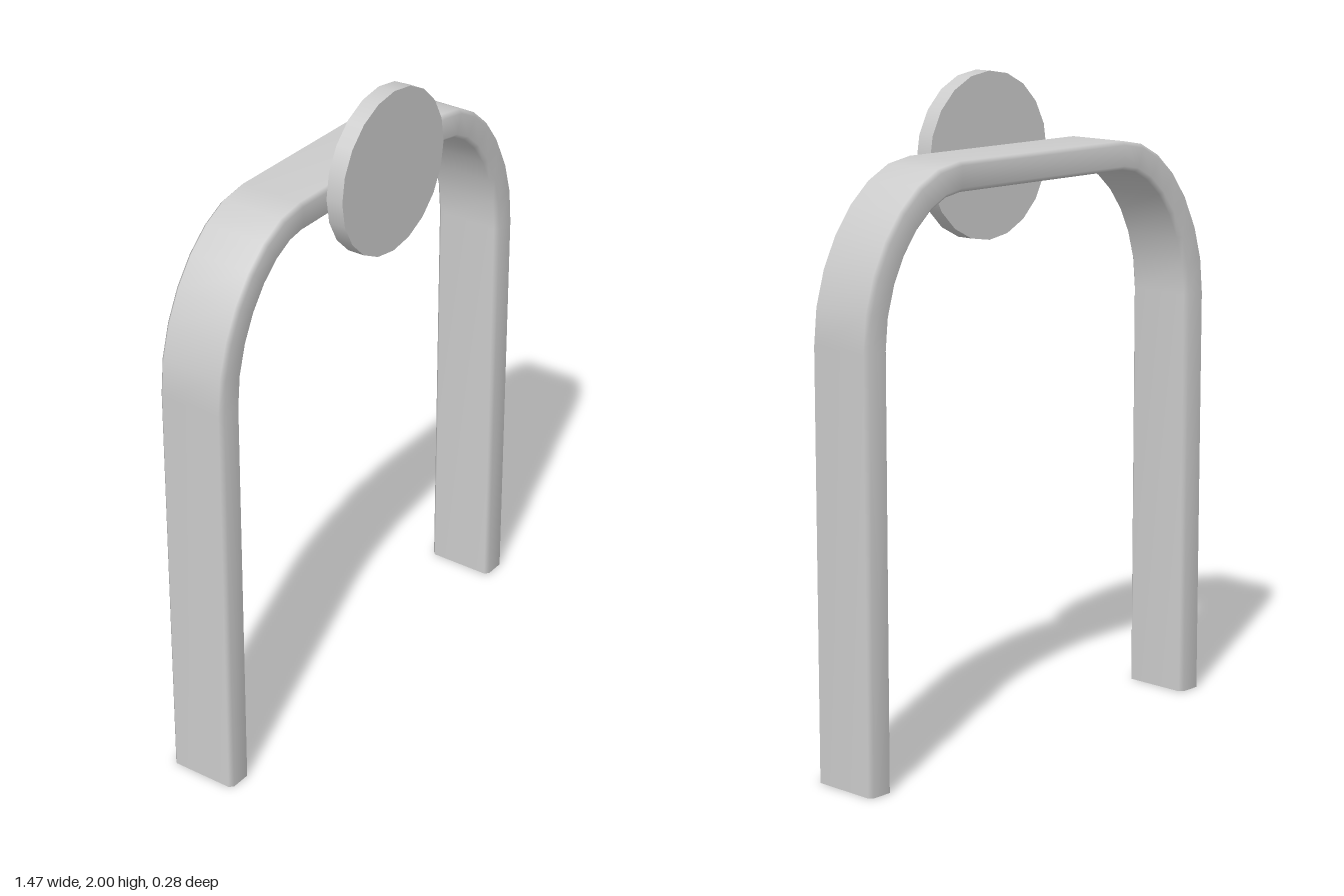
import * as THREE from 'three';

const material = new THREE.MeshStandardMaterial({ color: 0xcccccc, side: THREE.DoubleSide });

// Sweeps a closed section (u = outward, v = z) along a flat path; the ends stay open
function sweep(stations, section) {
  const positions = [], index = [], n = section.length;
  stations.forEach(({ p, t }, i) => {
    section.forEach(([u, v], j) => {
      positions.push(p.x + t.y * u, p.y - t.x * u, v);
      if (i < stations.length - 1) {
        const a = i * n + j, b = i * n + (j + 1) % n;
        index.push(a, a + n, b, b, a + n, b + n);
      }
    });
  });
  const geometry = new THREE.BufferGeometry();
  geometry.setAttribute('position', new THREE.Float32BufferAttribute(positions, 3));
  geometry.setIndex(index);
  geometry.computeVertexNormals();
  return geometry;
}

export function createModel() {
  const group = new THREE.Group();

  // Path of one half: foot, then the shoulder bend
  const bend = new THREE.CubicBezierCurve(
    new THREE.Vector2(0.69, 1.28), new THREE.Vector2(0.69, 1.52),
    new THREE.Vector2(0.52, 1.737), new THREE.Vector2(0.35, 1.737));
  const half = [{ p: new THREE.Vector2(0.69, 0), t: new THREE.Vector2(0, 1) }];
  const steps = 7;
  for (let i = 0; i <= steps; i++) {
    half.push({ p: bend.getPoint(i / steps), t: bend.getTangent(i / steps) });
  }
  // The other half is its mirror image, walked backwards
  const mirrored = half.map(({ p, t }) => ({
    p: new THREE.Vector2(-p.x, p.y), t: new THREE.Vector2(t.x, -t.y),
  })).reverse();

  // Flat bar section with small chamfers
  const w = 0.0435, h = 0.11, c = 0.012;
  const section = [
    [w, -h + c], [w, h - c], [w - c, h], [-w + c, h],
    [-w, h - c], [-w, -h + c], [-w + c, -h], [w - c, -h],
  ];
  const frame = new THREE.Mesh(sweep([...half, ...mirrored], section), material);
  frame.name = 'archFrame';
  frame.position.z = -0.028;
  group.add(frame);

  // Round plate on the front of the crossbar
  const disc = new THREE.Mesh(new THREE.CylinderGeometry(0.25, 0.25, 0.054, 20), material);
  disc.name = 'roundPlate';
  disc.rotation.x = Math.PI / 2;
  disc.position.set(0.005, 1.75, 0.111);
  group.add(disc);

  return group;
}
